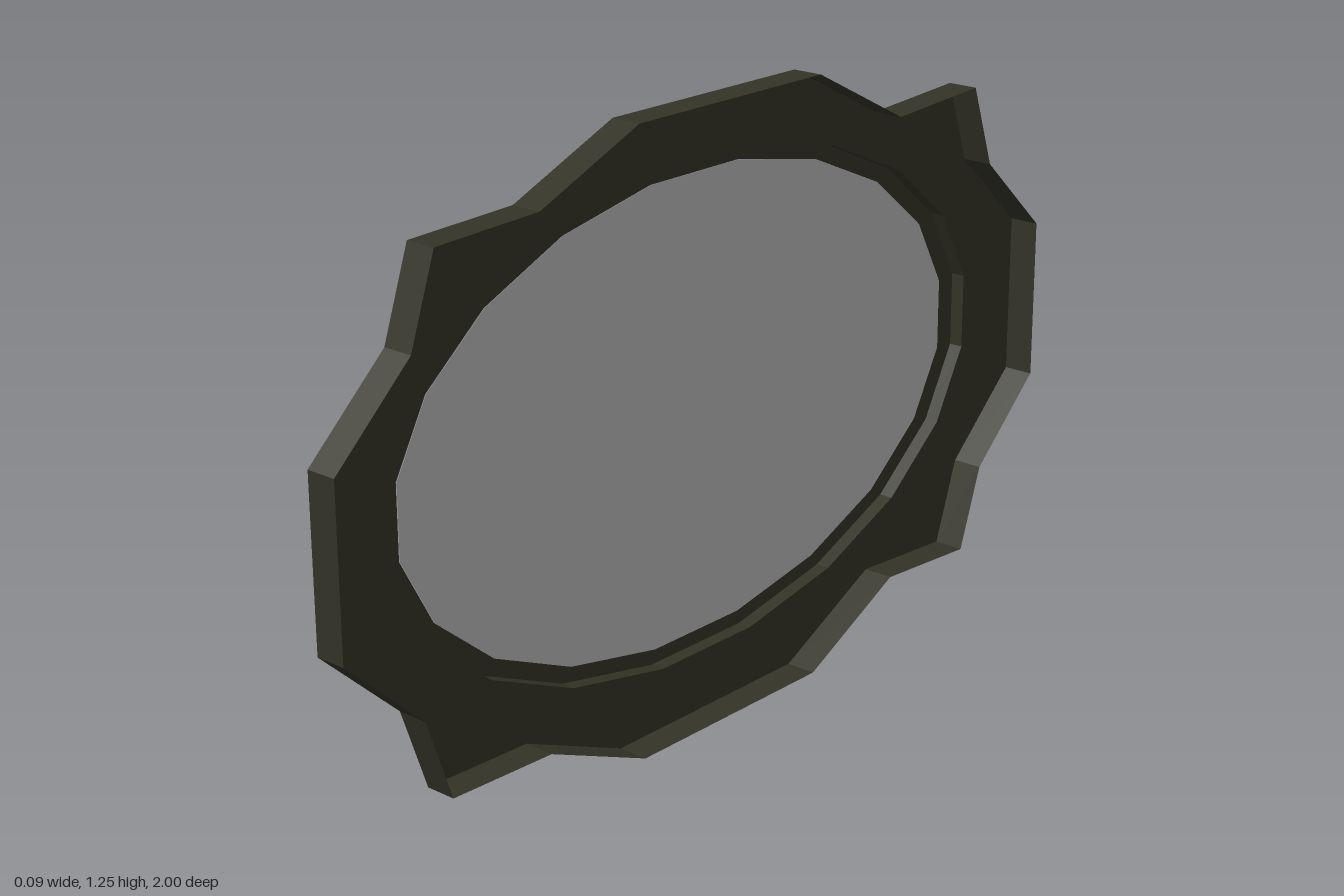
import * as THREE from 'three';

const SIDES = 20, CY = 0.625;

// Ellipse cross-section as [z, y] corners, flat sides at the four extremes
function ellipse(rz, ry) {
  return Array.from({ length: SIDES }, (_, i) => {
    const t = ((i + 0.5) / SIDES) * Math.PI * 2;
    return [rz * Math.cos(t), CY + ry * Math.sin(t)];
  });
}

// Decorative outer outline: one quarter mirrored, with slightly uneven notches
function outline() {
  const quarter = [[1, 0.17], [0.82, 0.337], [0.76, 0.51], [0.51, 0.518], [0.255, 0.625]];
  const flip = (pts, sz, sy) => pts.map(([z, y]) => [z * sz, y * sy]);
  const back = [...quarter].reverse();
  const pts = [
    ...quarter, ...flip(back, -1, 1), ...flip(quarter, -1, -1), ...flip(back, 1, -1),
  ].map(([z, y]) => [z, y + CY]);
  pts[6][1] = 1.12;
  pts[13][1] = 0.13;
  return pts;
}

// Flat-faced band between two loops, each given as { x, pts }
function band(a, b) {
  const pos = [];
  const put = (l, i) => pos.push(l.x, l.pts[i % SIDES][1], l.pts[i % SIDES][0]);
  for (let i = 0; i < SIDES; i++) {
    put(a, i); put(b, i); put(a, i + 1);
    put(b, i); put(b, i + 1); put(a, i + 1);
  }
  const g = new THREE.BufferGeometry();
  g.setAttribute('position', new THREE.Float32BufferAttribute(pos, 3));
  g.computeVertexNormals();
  return g;
}

export function createModel() {
  const group = new THREE.Group();
  group.name = 'wallMirror';

  const frameMat = new THREE.MeshStandardMaterial({ color: 0x333327, side: THREE.DoubleSide });
  frameMat.name = 'dark olive frame';
  const glassMat = new THREE.MeshStandardMaterial({ color: 0xb8b8b8, side: THREE.DoubleSide });
  glassMat.name = 'grey glass';

  const add = (geometry, material, name) => {
    const mesh = new THREE.Mesh(geometry, material);
    mesh.name = name;
    group.add(mesh);
    return mesh;
  };

  const inner = ellipse(0.79, 0.475), ring = ellipse(0.84, 0.506), outer = outline();
  const loops = [
    { x: -0.05, pts: inner },
    { x: -0.05, pts: ring },
    { x: -0.02, pts: ring },
    { x: -0.02, pts: outer },
    { x: 0.045, pts: outer },
  ];

  // Thin stepped frame, open towards +x
  ['ringFace', 'ringWall', 'framePlate', 'frameRim'].forEach((name, i) =>
    add(band(loops[i], loops[i + 1]), frameMat, name));

  // Oval glass set just inside the ring face
  const glass = new THREE.CircleGeometry(1, SIDES, Math.PI / SIDES);
  glass.scale(0.79, 0.475, 1).rotateY(Math.PI / 2).translate(-0.048, CY, 0);
  add(glass, glassMat, 'glass');

  return group;
}
